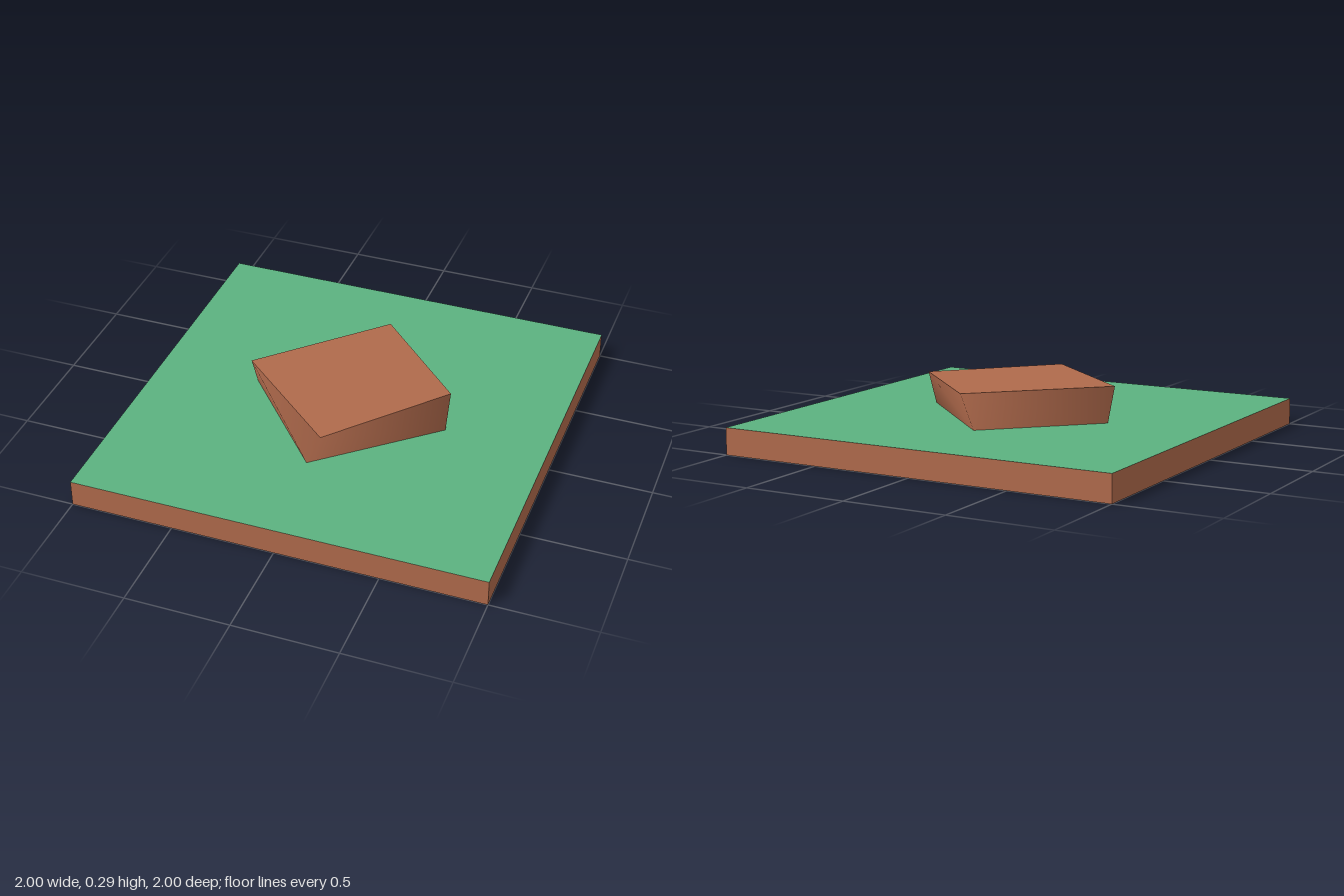
import * as THREE from 'three';

export function createModel() {
  const brown = new THREE.MeshStandardMaterial({ color: 0xb06a4c });
  brown.name = 'clay brown';
  const green = new THREE.MeshStandardMaterial({ color: 0x5cb280 });
  green.name = 'grass green';

  const model = new THREE.Group();
  model.name = 'groundTile';

  // Square slab with a green upper face
  const baseTop = 0.13;
  const slab = new THREE.Mesh(
    new THREE.BoxGeometry(2, baseTop, 2),
    [brown, brown, green, brown, brown, brown]
  );
  slab.name = 'groundSlab';
  slab.position.y = baseTop / 2;
  model.add(slab);

  // Skewed block: corners [x, z] in order left, front, right, back
  const blockTop = 0.295;
  const upper = [[-0.495, 0.035], [0.035, 0.495], [0.495, -0.035], [0.035, -0.495]];
  const lower = [[-0.495, -0.035], [-0.035, 0.495], [0.495, 0.035], [-0.035, -0.495]];
  const ring = (corners, y) => corners.flatMap(([x, z]) => [x, y, z]);
  const makePart = (name, positions, index) => {
    const geometry = new THREE.BufferGeometry();
    geometry.setAttribute('position', new THREE.Float32BufferAttribute(positions, 3));
    geometry.setIndex(index);
    geometry.computeVertexNormals();
    const mesh = new THREE.Mesh(geometry, brown);
    mesh.name = name;
    return mesh;
  };

  // Sides share corner vertices, so they shade smoothly round the block
  const sideIndex = [];
  for (let i = 0; i < 4; i++) {
    const j = (i + 1) % 4;
    sideIndex.push(i, 4 + i, 4 + j, i, 4 + j, j);
  }
  const block = new THREE.Group();
  block.name = 'rockBlock';
  block.add(
    makePart('blockSides', [...ring(upper, blockTop), ...ring(lower, baseTop)], sideIndex),
    makePart('blockTop', ring(upper, blockTop), [0, 1, 2, 0, 2, 3])
  );
  model.add(block);

  return model;
}
